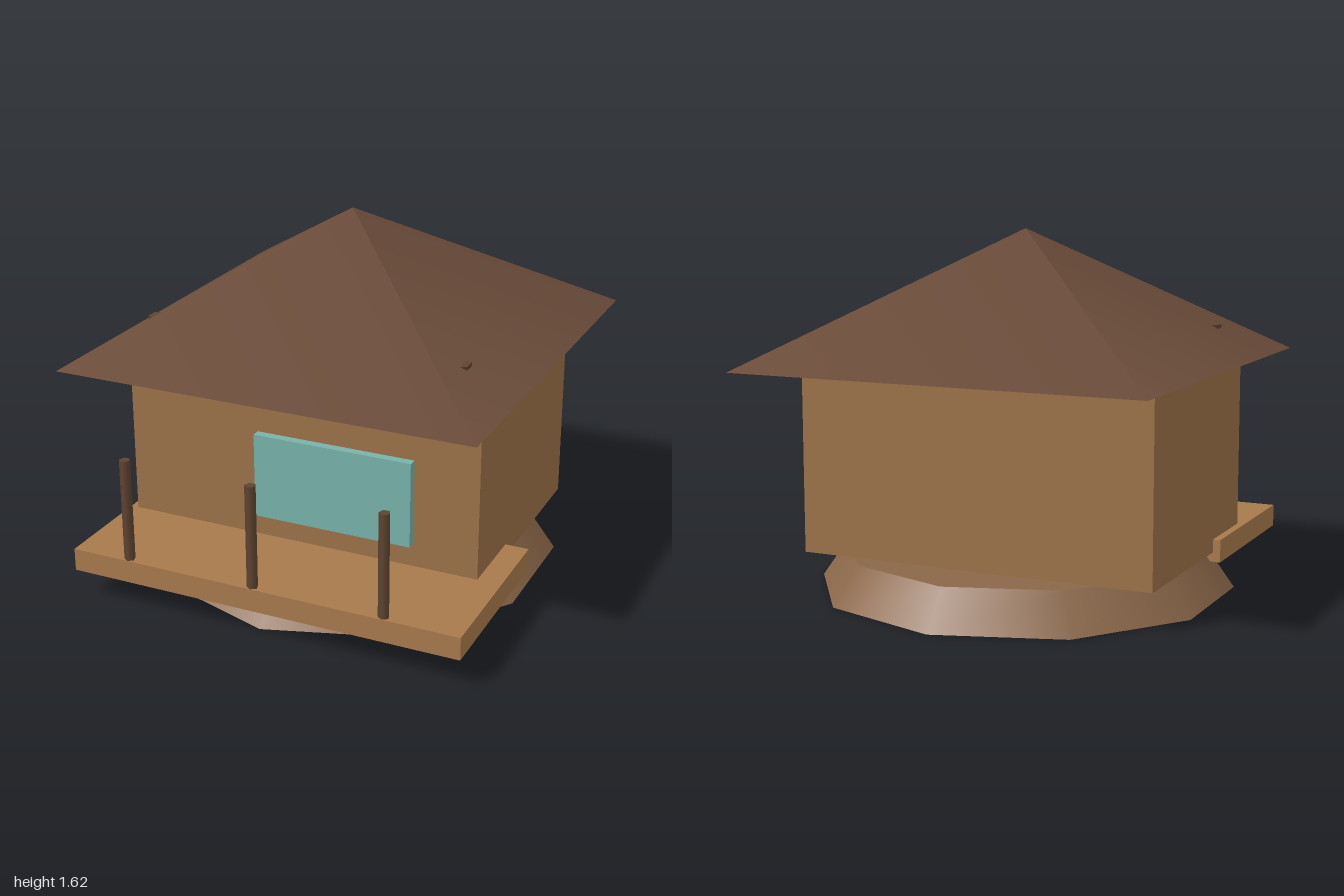
import * as THREE from 'three';

const CENTRE_Z = -0.035;

export function createModel() {
  const model = new THREE.Group();
  model.name = 'hut';

  const paint = (color) => new THREE.MeshStandardMaterial({ color });
  const stone = paint(0x8b6749);
  const wall = paint(0x9c7248);
  const plank = paint(0xa87a4c);
  const thatch = paint(0x6b4c3a);
  const darkWood = paint(0x5f4431);
  const glass = paint(0x78b3aa);

  const add = (name, geometry, material, x, y, z) => {
    const mesh = new THREE.Mesh(geometry, material);
    mesh.name = name;
    mesh.position.set(x, y, z);
    model.add(mesh);
    return mesh;
  };
  // box given by its lower and upper limits on each axis
  const addBox = (name, material, [x0, x1], [y0, y1], [z0, z1]) =>
    add(name, new THREE.BoxGeometry(x1 - x0, y1 - y0, z1 - z0), material,
      (x0 + x1) / 2, (y0 + y1) / 2, (z0 + z1) / 2);
  // upright round part standing between two heights
  const addRound = (name, material, rTop, rBottom, sides, x, y0, y1, z) =>
    add(name, new THREE.CylinderGeometry(rTop, rBottom, y1 - y0, sides), material,
      x, (y0 + y1) / 2, z);

  // ten-sided sloping foundation
  addRound('foundation', stone, 0.835, 0.955, 10, 0, 0, 0.173, CENTRE_Z);

  // walls and window
  addBox('walls', wall, [-0.835, 0.835], [0.173, 1.03], [-0.595, 0.525]);
  addBox('window', glass, [-0.2, 0.54], [0.34, 0.73], [0.5, 0.565]);

  // four-sided roof, turned so its eaves run along the walls
  const roofGeometry = new THREE.ConeGeometry(0.957 * Math.SQRT2, 0.592, 4);
  roofGeometry.rotateY(Math.PI / 4);
  add('roof', roofGeometry, thatch, 0, 1.028 + 0.296, CENTRE_Z);

  // veranda deck with its railing posts
  addBox('deck', plank, [-0.87, 0.943], [0.13, 0.233], [0.17, 1.0]);
  for (const x of [-0.6, 0, 0.6]) {
    addRound('railingPost', darkWood, 0.025, 0.025, 5, x, 0.2, 0.703, 0.975);
  }

  // corner columns running from below the deck up through the roof
  for (const side of [-1, 1]) {
    addRound('cornerColumn', darkWood, 0.052, 0.052, 6, side * 0.705, 0.053, 1.173, 0.465);
  }

  return model;
}
